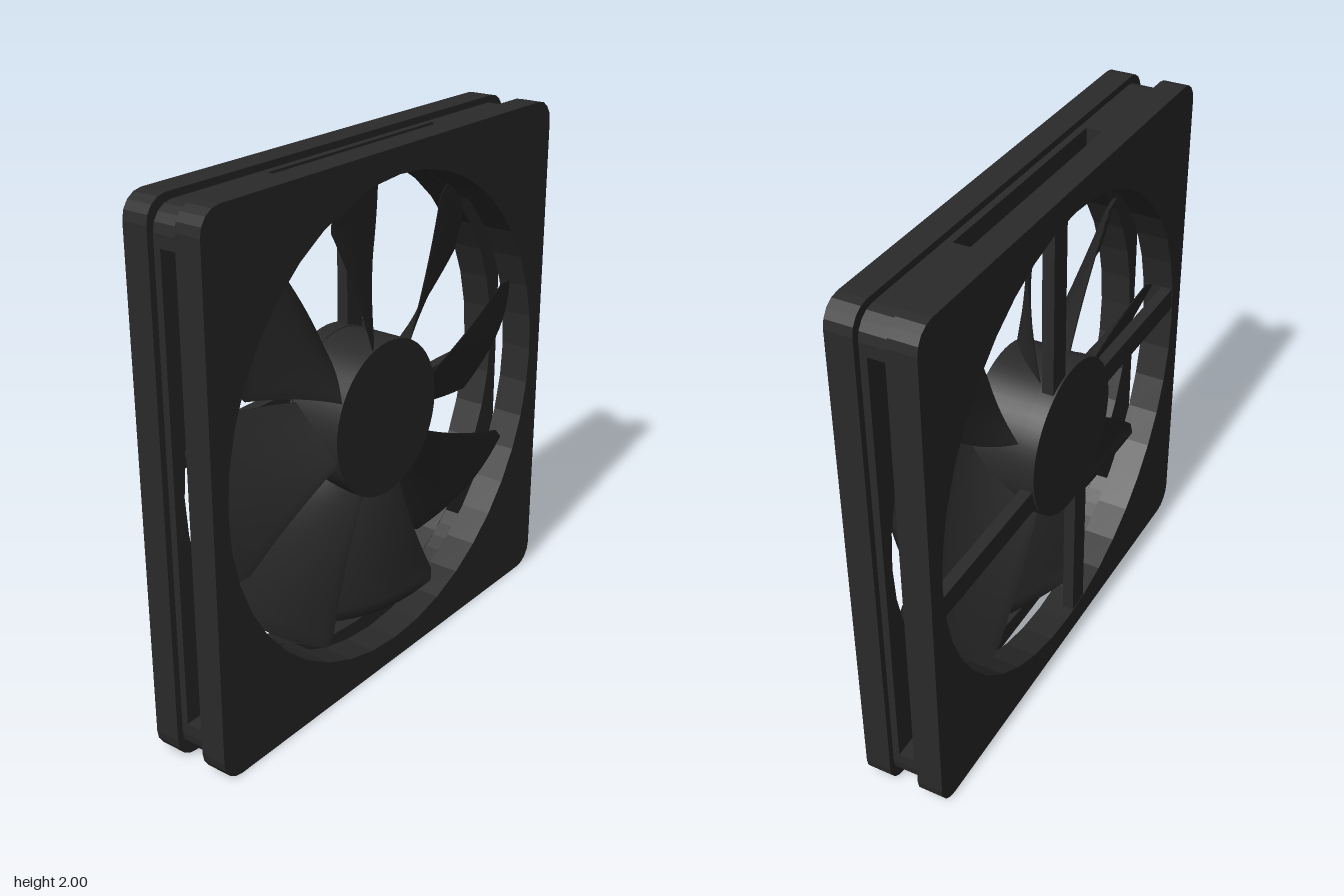
import * as THREE from 'three';

const HOLE = 0.905, HUB = 0.3, TIP = 0.868;
const material = new THREE.MeshStandardMaterial({ color: 0x2a2a2a });

function addMesh(parent, name, geometry) {
  const mesh = new THREE.Mesh(geometry, material);
  mesh.name = name;
  parent.add(mesh);
  return mesh;
}

// Points of an arc from angle a to b (radians)
function arc(cx, cy, r, a, b, n) {
  return Array.from({ length: n + 1 }, (_, i) => {
    const t = a + (b - a) * i / n;
    return new THREE.Vector2(cx + r * Math.cos(t), cy + r * Math.sin(t));
  });
}

function extrude(shape, z0, z1) {
  return new THREE.ExtrudeGeometry(shape, { depth: z1 - z0, bevelEnabled: false }).translate(0, 0, z0);
}

// Rounded rectangle with the round opening of the fan
function plate(hw, hh, z0, z1) {
  const r = 0.085, q = Math.PI / 2, pts = [];
  [[1, 1], [-1, 1], [-1, -1], [1, -1]].forEach(([sx, sy], i) =>
    pts.push(...arc(sx * (hw - r), sy * (hh - r), r, i * q, (i + 1) * q, 4)));
  const shape = new THREE.Shape(pts);
  shape.holes.push(new THREE.Path(arc(0, 0, HOLE, 0, Math.PI * 2, 40).slice(0, -1).reverse()));
  return extrude(shape, z0, z1);
}

// Solid corner left between the side slots, for the quadrant given by the signs
function cornerBlock(sx, sy, z) {
  const V = (x, y) => new THREE.Vector2(x, y);
  const pts = [
    V(0.95, 0.845), ...arc(0.865, 0.89, 0.085, 0, Math.PI / 2, 4),
    V(0.46, 0.975), V(0.46, 0.83),
    ...arc(0, 0, HOLE, Math.acos(0.36 / HOLE), Math.acos(0.61 / HOLE), 5),
    V(0.61, 0.845),
  ].map((p) => V(p.x * sx, p.y * sy));
  return extrude(new THREE.Shape(pts), -z, z);
}

// Twisted blade: a closed grid whose section runs along the front and back skins
function bladeGeometry() {
  const rows = 12, cols = 10, ring = 2 * (cols + 1), pos = [], idx = [];
  const deg = Math.PI / 180;
  for (let i = 0; i <= rows; i++) {
    const t = i / rows;
    const r = HUB - 0.02 + (TIP - HUB + 0.02) * t;
    const round = i === rows ? 2 : 0; // softened tip corners
    const a0 = (69 + 7.8 * t + round) * deg, a1 = (106 + 6.5 * t - round) * deg;
    for (let k = 0; k < ring; k++) {
      const back = k > cols;
      const s = (back ? ring - 1 - k : k) / cols;
      const a = a0 + (a1 - a0) * s;
      const half = 0.003 + 0.008 * Math.sin(Math.PI * s);
      const z = -0.085 + 0.19 * s + 0.015 * Math.sin(Math.PI * s) + (back ? -half : half);
      pos.push(r * Math.cos(a), r * Math.sin(a), z);
    }
  }
  for (let i = 0; i < rows; i++) {
    for (let k = 0; k < ring; k++) {
      const a = i * ring + k, b = i * ring + (k + 1) % ring;
      idx.push(a, b, b + ring, a, b + ring, a + ring);
    }
  }
  // Cap the tip
  const base = rows * ring;
  for (let k = 0; k < cols; k++) {
    const a = base + k, b = a + 1, c = base + ring - 2 - k, d = c + 1;
    idx.push(a, b, c, a, c, d);
  }
  // Columns run towards -x on the upper skin, so wind every face outwards
  for (let i = 0; i < idx.length; i += 3) [idx[i + 1], idx[i + 2]] = [idx[i + 2], idx[i + 1]];
  const g = new THREE.BufferGeometry();
  g.setAttribute('position', new THREE.Float32BufferAttribute(pos, 3));
  g.setIndex(idx);
  const flat = g.toNonIndexed();
  g.computeVertexNormals();
  // Keep the outward direction right whichever way the section runs
  const p = flat.attributes.position;
  let volume = 0;
  const [A, B, C] = [0, 1, 2].map(() => new THREE.Vector3());
  for (let i = 0; i < p.count; i += 3) {
    A.fromBufferAttribute(p, i); B.fromBufferAttribute(p, i + 1); C.fromBufferAttribute(p, i + 2);
    volume += A.dot(B.cross(C));
  }
  if (volume < 0) {
    g.setIndex(idx.slice().reverse());
    g.computeVertexNormals();
  }
  return g;
}

function disc(r, z0, z1) {
  return new THREE.CylinderGeometry(r, r, z1 - z0, 48).rotateX(Math.PI / 2).translate(0, 0, (z0 + z1) / 2);
}

export function createModel() {
  const model = new THREE.Group();
  model.name = 'coolingFan';
  const fan = new THREE.Group();
  fan.name = 'fan';
  fan.position.y = 1;
  model.add(fan);

  // Housing: two flanges and a recessed, slotted wall between them
  const frame = new THREE.Group();
  frame.name = 'frame';
  fan.add(frame);
  addMesh(frame, 'frontFlange', plate(0.975, 1, 0.057, 0.157));
  addMesh(frame, 'backFlange', plate(0.975, 1, -0.157, -0.057));
  addMesh(frame, 'frontWall', plate(0.95, 0.975, 0.031, 0.057));
  addMesh(frame, 'backWall', plate(0.95, 0.975, -0.057, -0.031));
  for (const sx of [-1, 1]) for (const sy of [-1, 1]) {
    addMesh(frame, 'cornerBlock', cornerBlock(sx, sy, 0.031));
  }

  // Motor mount with four offset struts at the back
  addMesh(fan, 'motorMount', disc(HUB, -0.162, -0.1));
  for (let i = 0; i < 4; i++) {
    const strut = addMesh(fan, 'strut', new THREE.BoxGeometry(0.09, 0.68, 0.045).translate(0.095, 0.575, -0.132));
    strut.rotation.z = i * Math.PI / 2;
  }

  // Rotor: hub and eight blades
  const rotor = new THREE.Group();
  rotor.name = 'rotor';
  fan.add(rotor);
  addMesh(rotor, 'hub', disc(HUB - 0.003, -0.1, 0.112));
  const blade = bladeGeometry();
  for (let i = 0; i < 8; i++) addMesh(rotor, 'blade', blade).rotation.z = i * Math.PI / 4;

  return model;
}
